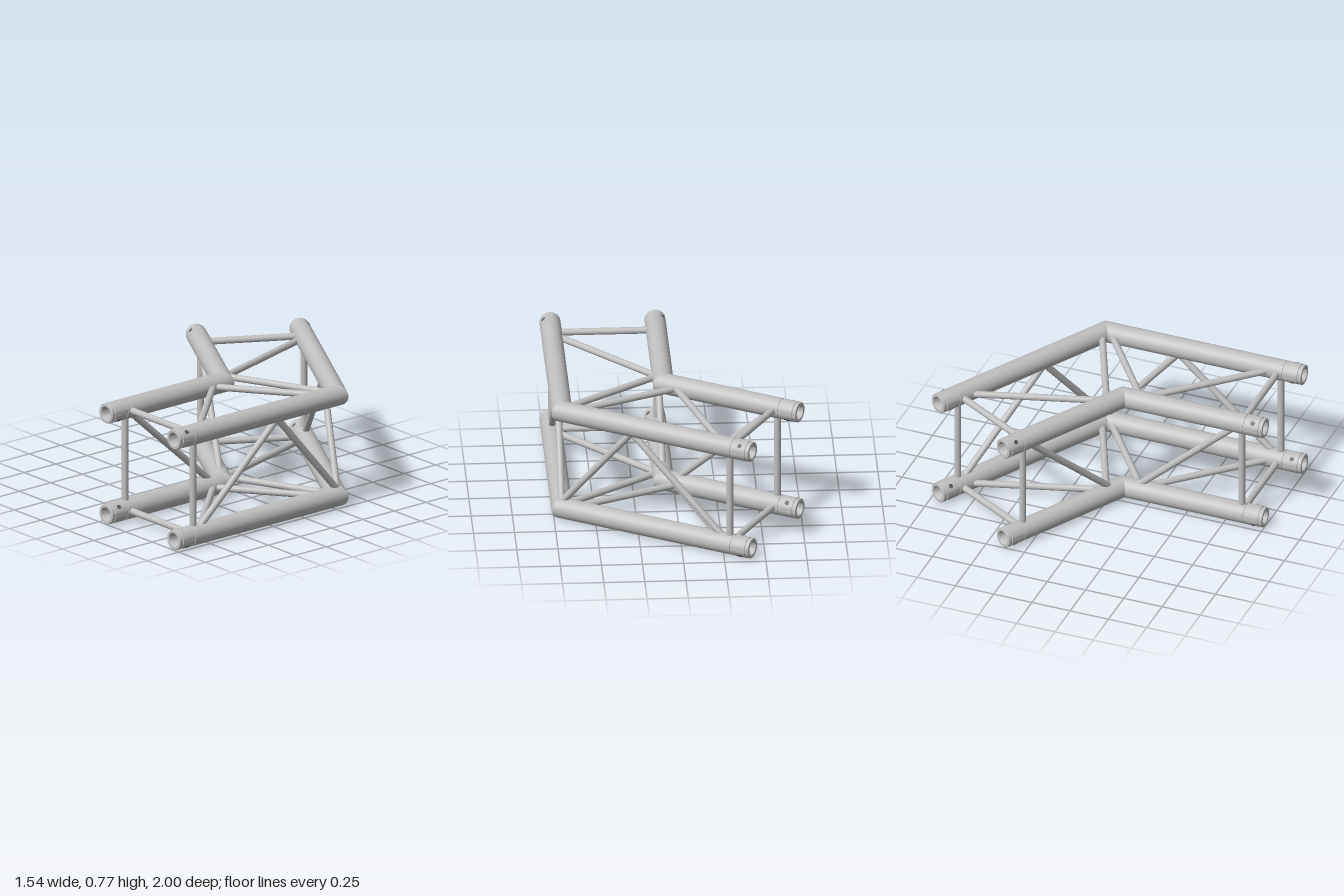
import * as THREE from 'three';
import { toCreasedNormals } from 'three/addons/utils/BufferGeometryUtils.js';

const R = 0.064;                       // chord tube radius
const BRACE_R = 0.021;                 // thin brace radius
const LOW = 0.066, HIGH = 0.711;       // chord heights
const GAP = 0.638;                     // inner to outer chord spacing
const TAN = Math.tan(Math.PI / 6);     // mitre slope
const END = 0.929;                     // chord end, measured from the inner mitre
const COUPLER = 0.125;                 // coupler length

const aluminium = new THREE.MeshStandardMaterial({ color: 0xc0c0c0 });
const holeGrey = new THREE.MeshStandardMaterial({ color: 0x5c5c5c });

// Cylinder running between two points
function rod(name, a, b, radius, material = aluminium, sides = 20) {
  const dir = b.clone().sub(a);
  const mesh = new THREE.Mesh(new THREE.CylinderGeometry(radius, radius, dir.length(), sides), material);
  mesh.position.copy(a).add(b).multiplyScalar(0.5);
  mesh.quaternion.setFromUnitVectors(new THREE.Vector3(0, 1, 0), dir.normalize());
  mesh.name = name;
  return mesh;
}

// Tube along z whose near end is cut on the mitre plane
function chordGeometry(start, m) {
  const end = END - COUPLER;
  const geo = new THREE.CylinderGeometry(R, R, 1, 48, 1, true).rotateX(Math.PI / 2);
  const p = geo.attributes.position;
  for (let i = 0; i < p.count; i++) {
    p.setZ(i, p.getZ(i) > 0 ? end : start - m * p.getX(i) * TAN);
  }
  return geo;
}

// Hollow end socket: fine groove, stepped lip and recessed bore
function couplerGeometry() {
  const profile = [
    [R, 0], [R - 0.003, 0.001], [R - 0.003, 0.004], [R, 0.005],
    [R, 0.098], [R - 0.004, 0.1], [R - 0.004, 0.106], [R - 0.001, 0.108],
    [R - 0.001, 0.122], [R - 0.004, COUPLER], [0.044, COUPLER],
    [0.041, 0.12], [0.034, 0.05], [0.014, 0.05], [0.014, 0.03], [0, 0.03],
  ].map(([r, y]) => new THREE.Vector2(r, y));
  const geo = new THREE.LatheGeometry(profile, 48).rotateX(Math.PI / 2);
  return toCreasedNormals(geo, 0.5);
}

// One half of the corner: local z runs along the chords, m mirrors it sideways
function buildArm(m, coupler) {
  const arm = new THREE.Group();
  const at = (side, y, s) => new THREE.Vector3(m * side * GAP, y, s);

  for (const side of [0, 1]) {
    const start = -side * GAP * TAN;
    for (const y of [LOW, HIGH]) {
      const chord = new THREE.Mesh(chordGeometry(start, m), aluminium);
      chord.name = 'chordTube';
      chord.position.copy(at(side, y, 0));

      const socket = new THREE.Mesh(coupler, aluminium);
      socket.name = 'endCoupler';
      socket.position.copy(at(side, y, END - COUPLER));
      arm.add(chord, socket);

      // Pin hole through the coupler, on the outward diagonal
      const out = new THREE.Vector3(m * (side ? 1 : -1), y === HIGH ? 1 : -1, 0).normalize();
      const c = at(side, y, END - 0.066);
      for (const k of [1, -1]) {
        arm.add(rod('pinHole',
          c.clone().addScaledVector(out, k * 0.06),
          c.clone().addScaledVector(out, k * (R + 0.0006)), 0.014, holeGrey));
      }
    }
    // End post
    arm.add(rod('endPost', at(side, LOW, 0.776), at(side, HIGH, 0.776), BRACE_R));
  }

  // Horizontal braces in the top and bottom faces
  for (const y of [LOW, HIGH]) {
    arm.add(
      rod('endCrossbar', at(0, y, 0.769), at(1, y, 0.769), BRACE_R),
      rod('flatDiagonal', at(0, y, 0.069), at(1, y, 0.744), BRACE_R),
      rod('cornerDiagonal', at(0, y, 0.127), at(1, y, -0.338), BRACE_R));
  }

  // Upright diagonals: side, position at the lower chord, position at the upper chord
  for (const [side, low, high] of [[0, 0.13, 0.7], [1, 0.7, 0.13], [1, -0.35, 0.09]]) {
    const a = at(side, LOW + R, low), b = at(side, HIGH - R, high);
    const reach = b.clone().sub(a).setLength(0.05);
    arm.add(rod('sideDiagonal', a.sub(reach), b.add(reach), BRACE_R));
  }
  return arm;
}

export function createModel() {
  const model = new THREE.Group();
  model.name = 'cornerTruss';
  const coupler = couplerGeometry();

  const frontArm = buildArm(1, coupler);
  frontArm.name = 'frontArm';
  const rearArm = buildArm(-1, coupler);
  rearArm.name = 'rearArm';
  rearArm.rotation.y = -Math.PI * 2 / 3;

  for (const arm of [frontArm, rearArm]) {
    arm.position.set(0.064, 0, 0.071);
    model.add(arm);
  }
  return model;
}
